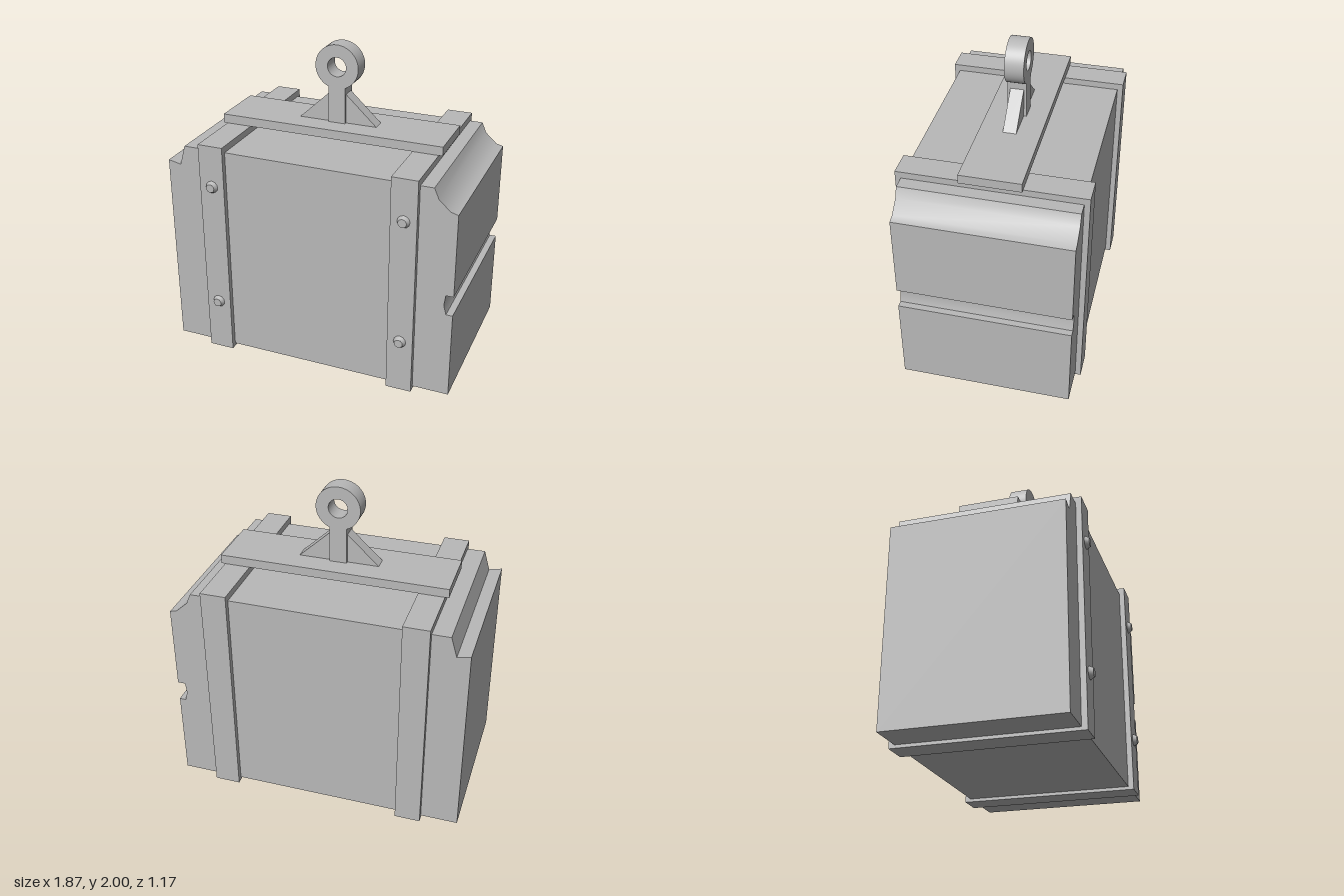
import * as THREE from 'three';
import { toCreasedNormals } from 'three/addons/utils/BufferGeometryUtils.js';

const MID_Z = -0.013; // depth centre shared by all parts except the bolts

export function createModel() {
  const group = new THREE.Group();
  const grey = new THREE.MeshStandardMaterial({ color: 0xb8b8b8 });
  grey.name = 'plain grey';

  const add = (name, geometry, x = 0, y = 0, z = MID_Z) => {
    const mesh = new THREE.Mesh(geometry, grey);
    mesh.name = name;
    mesh.position.set(x, y, z);
    group.add(mesh);
    return mesh;
  };

  // Extrude a front outline evenly to both sides of the depth centre
  const slab = (shape, depth) => {
    const geo = new THREE.ExtrudeGeometry(shape, { depth, bevelEnabled: false, curveSegments: 32 });
    geo.translate(0, 0, -depth / 2);
    return toCreasedNormals(geo, 0.55);
  };
  const outline = (points) => new THREE.Shape(points.map(([x, y]) => new THREE.Vector2(x, y)));

  // Block with a side groove, a coved right shoulder and a notched left shoulder
  add('block', slab(outline([
    [-0.935, 0.02], [0.93, 0.02], [0.93, 0.59], [0.889, 0.59], [0.873, 0.65], [0.882, 0.72],
    [0.93, 0.72], [0.93, 1.255], [0.884, 1.268], [0.812, 1.333], [0.783, 1.4],
    [-0.815, 1.4], [-0.852, 1.272], [-0.935, 1.29],
  ]), 1.074));

  // Straps around the block, each with two tapered bolts on the front
  for (const side of [-1, 1]) {
    add('strap', new THREE.BoxGeometry(0.163, 1.442, 1.144), side * 0.619, 0.721);
    for (const y of [0.352, 1.172]) {
      const bolt = new THREE.CylinderGeometry(0.027, 0.04, 0.026, 12);
      bolt.rotateX(Math.PI / 2);
      add('bolt', toCreasedNormals(bolt, 0.6), side * 0.619, y, 0.572);
    }
  }

  // Top plate resting on the straps
  add('topPlate', new THREE.BoxGeometry(1.45, 0.057, 0.374), 0, 1.471);

  // Lifting eye: ring and stem in one outline
  const R = 0.14, ringY = 1.86, half = 0.055;
  const a = Math.asin(half / R);
  const eye = new THREE.Shape();
  eye.moveTo(-half, 1.5);
  eye.lineTo(half, 1.5);
  eye.absarc(0, ringY, R, -Math.PI / 2 + a, Math.PI * 1.5 - a, false);
  eye.lineTo(-half, 1.5);
  const hole = new THREE.Path();
  hole.absarc(0, ringY, 0.061, 0, Math.PI * 2, true);
  eye.holes.push(hole);
  add('liftingEye', slab(eye, 0.118));

  // Triangular gussets beside the stem
  const gusset = slab(outline([[0.05, 1.5], [0.255, 1.5], [0.05, 1.692]]), 0.083);
  add('leftGusset', gusset);
  add('rightGusset', gusset).rotation.y = Math.PI;

  return group;
}
